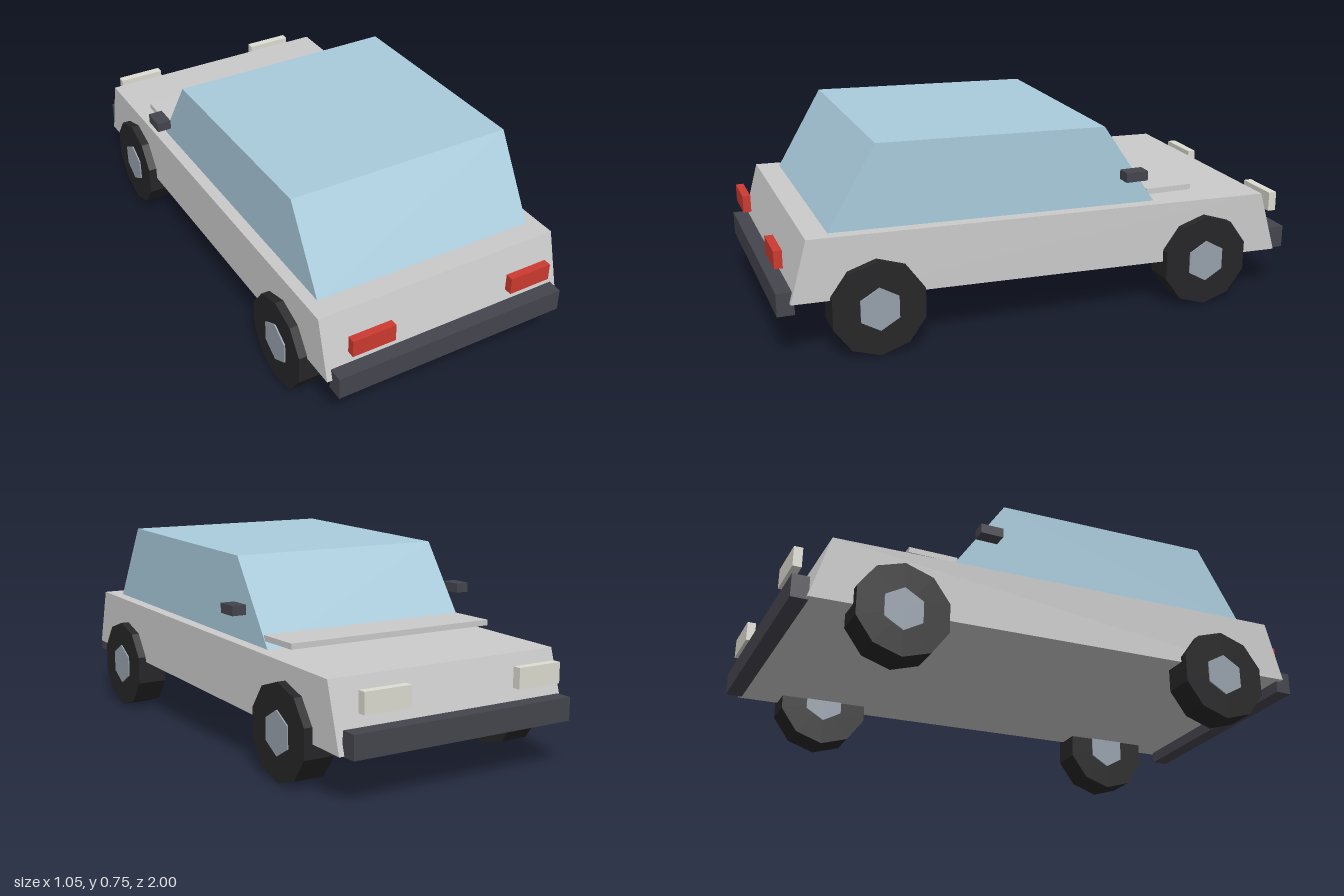
import * as THREE from 'three';

const mat = (color) => new THREE.MeshStandardMaterial({ color, flatShading: true });

export function createModel() {
  const car = new THREE.Group();
  car.name = 'car';
  const paint = mat(0xcccccc), glass = mat(0xaaccdd), trim = mat(0x45454e);
  const rubber = mat(0x262628), metal = mat(0x97a1ac), red = mat(0xcc3a30), lamp = mat(0xddddd2);

  const add = (name, geometry, material) => {
    const mesh = new THREE.Mesh(geometry, material);
    mesh.name = name;
    car.add(mesh);
    return mesh;
  };

  // Box given by its [min, max] range on each axis
  const box = (name, material, [x0, x1], [y0, y1], [z0, z1]) =>
    add(name, new THREE.BoxGeometry(x1 - x0, y1 - y0, z1 - z0), material)
      .position.set((x0 + x1) / 2, (y0 + y1) / 2, (z0 + z1) / 2);

  // Side profile of (z, y) points extruded across the width
  const slab = (name, material, points, halfWidth) => {
    const shape = new THREE.Shape(points.map(([z, y]) => new THREE.Vector2(z, y)));
    const geometry = new THREE.ExtrudeGeometry(shape, { depth: 2 * halfWidth, bevelEnabled: false });
    geometry.translate(0, 0, -halfWidth).rotateY(-Math.PI / 2);
    add(name, geometry, material);
  };

  // Wedge-shaped lower body and glazed cabin
  slab('body', paint, [[0.955, 0.222], [0.893, 0.448], [-0.878, 0.404], [-0.948, 0.168]], 0.475);
  slab('cabin', glass, [[0.81, 0.443], [0.632, 0.745], [-0.223, 0.721], [-0.434, 0.413]], 0.43);

  // Raised panel at the foot of the windscreen
  box('cowlPanel', paint, [-0.428, 0.428], [0.442, 0.463], [-0.588, -0.405]);

  // Bumpers
  box('tailBumper', trim, [-0.455, 0.455], [0.177, 0.262], [0.938, 1]);
  box('noseBumper', trim, [-0.455, 0.455], [0.165, 0.25], [-1, -0.938]);

  // Lights, mirrors and wheels on both sides
  const disc = (name, radius, width, sides, material, x, z) => {
    const geometry = new THREE.CylinderGeometry(radius, radius, width, sides, 1, false, Math.PI / 2);
    add(name, geometry.rotateZ(Math.PI / 2), material).position.set(x, 0.175, z);
  };
  for (const [side, s] of [['left', 1], ['right', -1]]) {
    const span = (a, b) => (s > 0 ? [a, b] : [-b, -a]);
    box(side + 'TailLight', red, span(0.235, 0.4), [0.33, 0.395], [0.96, 0.99]);
    box(side + 'Headlight', lamp, span(0.227, 0.41), [0.303, 0.378], [-0.99, -0.958]);
    box(side + 'Mirror', trim, span(0.47, 0.524), [0.53, 0.566], [-0.355, -0.27]);
    for (const [end, z] of [['Rear', 0.654], ['Front', -0.626]]) {
      disc(side + end + 'Tyre', 0.175, 0.117, 10, rubber, s * 0.448, z);
      disc(side + end + 'Hub', 0.08, 0.127, 6, metal, s * 0.448, z);
    }
  }
  return car;
}
